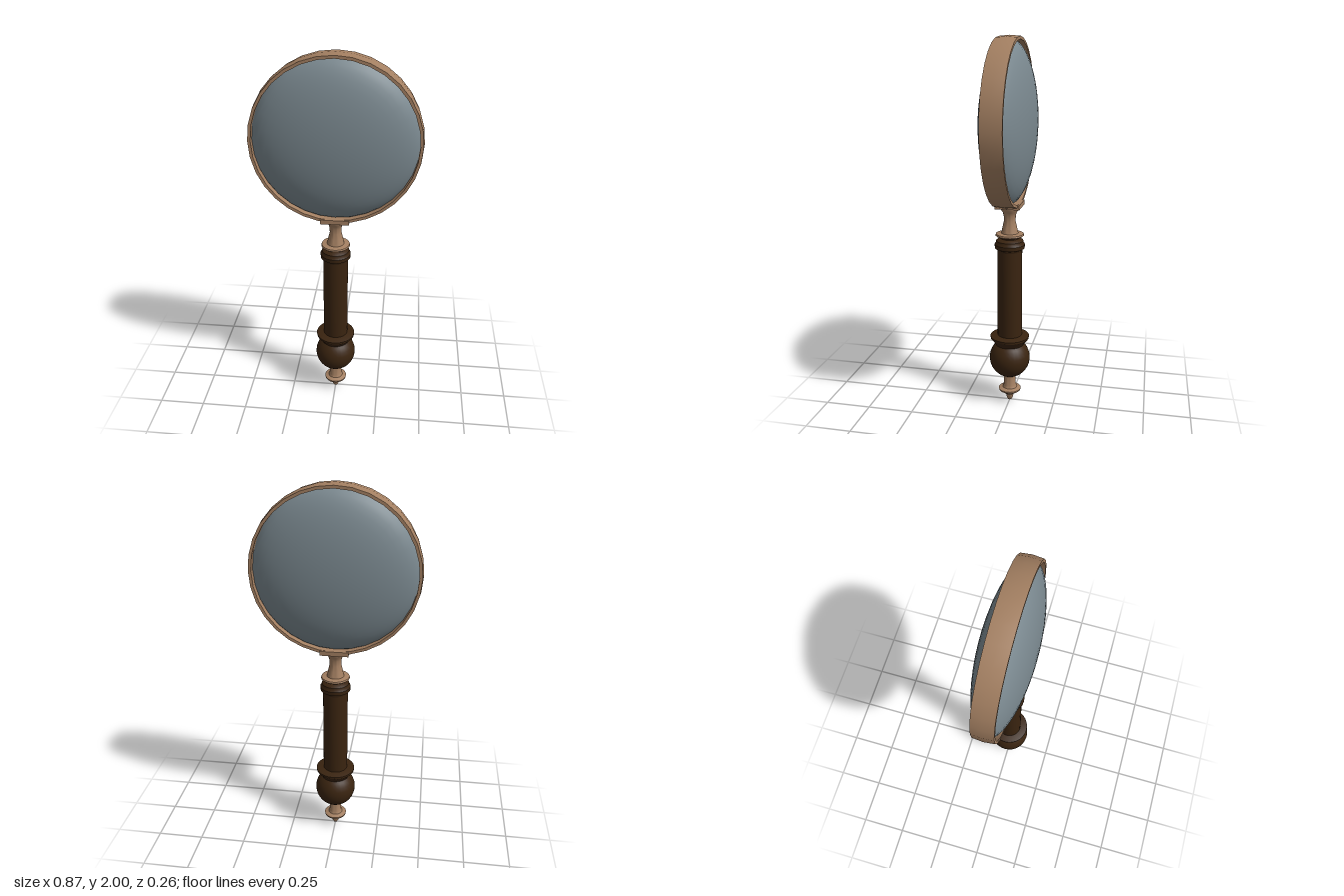
import * as THREE from 'three';
import { toCreasedNormals } from 'three/addons/utils/BufferGeometryUtils.js';

export function createModel() {
  const model = new THREE.Group();
  const material = (name, color) => {
    const m = new THREE.MeshStandardMaterial({ color });
    m.name = name;
    return m;
  };
  const brass = material('dull brass', 0xa48062);
  const wood = material('dark wood', 0x3a2410);
  const glass = material('grey glass', 0x7b8990);

  const add = (name, geometry, mat, y = 0) => {
    const mesh = new THREE.Mesh(geometry, mat);
    mesh.name = name;
    mesh.position.y = y;
    model.add(mesh);
    return mesh;
  };
  // Turned part from [radius, height] pairs, bottom to top
  const turned = (name, profile, mat, segments = 28) => {
    const points = profile.map(([r, y]) => new THREE.Vector2(r, y));
    return add(name, toCreasedNormals(new THREE.LatheGeometry(points, segments), 0.6), mat);
  };

  // Bottom finial
  turned('finial', [
    [0, 0.005], [0.01, 0.007], [0.017, 0.02], [0.022, 0.043], [0.035, 0.052], [0.038, 0.062],
    [0.06, 0.07], [0.062, 0.08], [0.04, 0.088], [0.034, 0.1], [0.033, 0.165], [0, 0.165],
  ], brass);

  // Wooden handle: ball, flared cup, shaft and upper collar
  const ball = [];
  for (let i = 0; i <= 14; i++) {
    const a = -Math.PI / 2 + (i / 14) * Math.PI;
    ball.push([Math.max(0, Math.cos(a) * 0.112), 0.268 + Math.sin(a) * 0.112]);
  }
  turned('handleBall', ball, wood);
  turned('handleCup', [
    [0, 0.35], [0.078, 0.35], [0.087, 0.365], [0.106, 0.388], [0.107, 0.4], [0.075, 0.408], [0, 0.41],
  ], wood);
  turned('handleShaft', [[0, 0.4], [0.067, 0.4], [0.067, 0.9], [0, 0.9]], wood);
  turned('handleCollar', [
    [0, 0.888], [0.066, 0.888], [0.07, 0.902], [0.08, 0.907], [0.081, 0.928], [0.074, 0.938],
    [0.073, 0.948], [0.062, 0.956], [0.048, 0.96], [0.046, 0.976], [0, 0.976],
  ], wood);

  // Metal neck between handle and frame
  turned('neck', [
    [0, 0.972], [0.07, 0.972], [0.077, 0.978], [0.074, 0.986], [0.046, 0.99], [0.043, 1.0],
    [0.038, 1.025], [0.031, 1.055], [0.032, 1.085], [0.038, 1.105], [0.048, 1.118], [0.05, 1.135], [0, 1.135],
  ], brass);

  // Saddle plate under the frame
  add('saddle', new THREE.BoxGeometry(0.15, 0.024, 0.13), brass, 1.144);

  // Lens frame: a hoop with a slightly crowned outside
  const hoop = turned('lensFrame', [
    [0.415, -0.055], [0.43, -0.055], [0.435, 0], [0.43, 0.055], [0.415, 0.055], [0.415, -0.055],
  ], brass, 32);
  hoop.rotation.x = Math.PI / 2;
  hoop.position.y = 1.567;

  // Lens, bulging on both sides
  const lens = new THREE.SphereGeometry(0.42, 32, 24);
  lens.rotateX(Math.PI / 2);
  lens.scale(1, 1, 0.131 / 0.42);
  add('lens', lens, glass, 1.567);

  return model;
}
